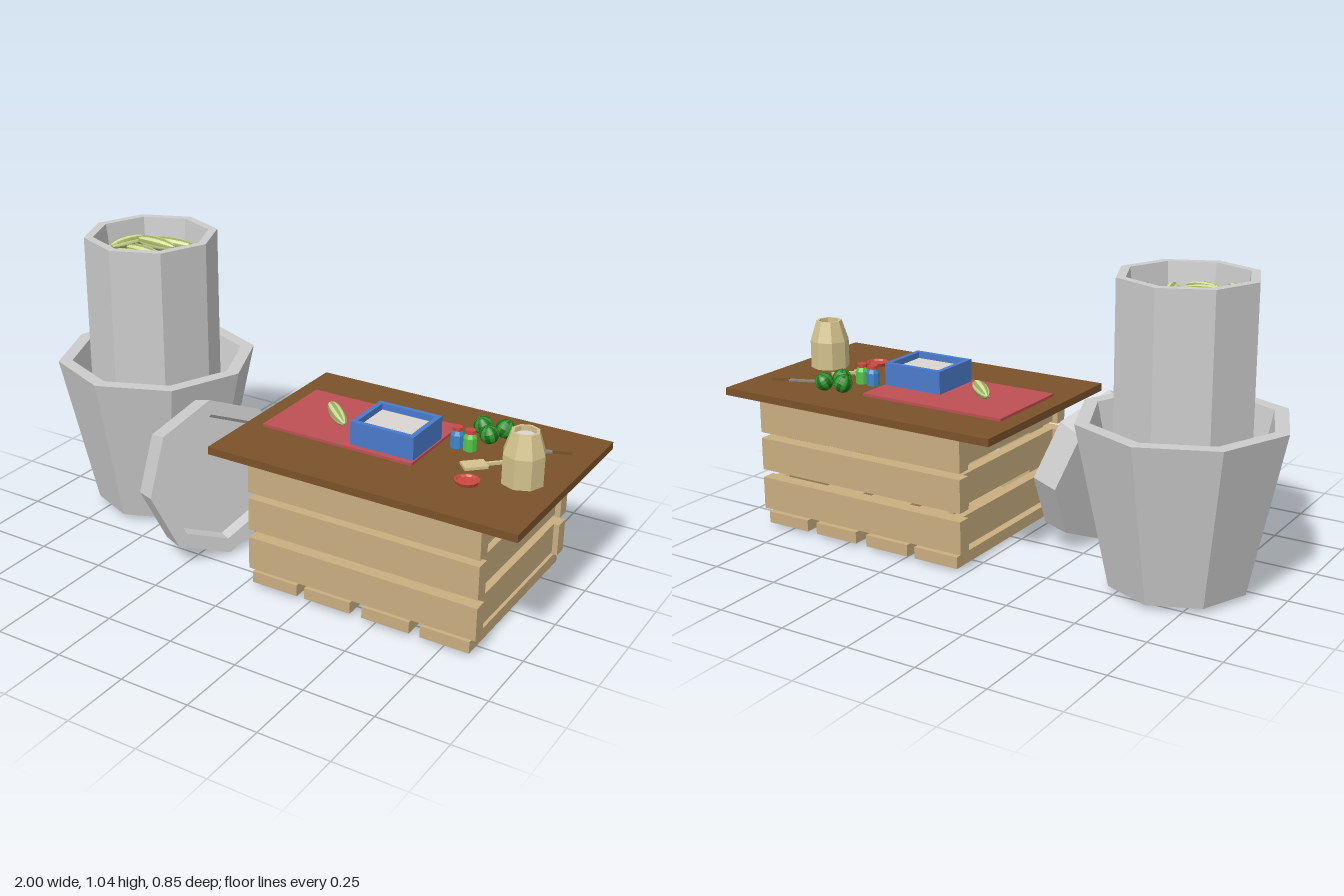
import * as THREE from 'three';
import { mergeGeometries } from 'three/addons/utils/BufferGeometryUtils.js';

const mat = (color) => new THREE.MeshStandardMaterial({ color, flatShading: true });
const GREY = mat(0xcccccc), WOOD = mat(0xc9ae80), BOARD = mat(0x7a5229), RED = mat(0xc9483f),
  MAT_RED = mat(0xbd5055), BLUE = mat(0x4a7acb), WHITE = mat(0xdcd6d2), WATER = mat(0x7fd0dc),
  CLAY = mat(0xd3c28c), PALE = mat(0xd2dd98), OLIVE = mat(0x9cab5e), GREEN = mat(0x2f9a28),
  DARK_GREEN = mat(0x1c6a1c), LIME = mat(0x55c447), SKY = mat(0x3f86c9), STEEL = mat(0x85858a);

export function createModel() {
  const root = new THREE.Group();

  const add = (name, geometry, material, x = 0, y = 0, z = 0, parent = root) => {
    const m = new THREE.Mesh(geometry, material);
    m.name = name;
    m.position.set(x, y, z);
    parent.add(m);
    return m;
  };
  // box given by its lower and upper limits on each axis
  const box = (name, material, [x0, x1], [y0, y1], [z0, z1], parent = root) =>
    add(name, new THREE.BoxGeometry(x1 - x0, y1 - y0, z1 - z0), material,
      (x0 + x1) / 2, (y0 + y1) / 2, (z0 + z1) / 2, parent);
  // faceted turned shape from [radius, height] pairs
  const turned = (profile, sides = 8) =>
    new THREE.LatheGeometry(profile.map(([r, y]) => new THREE.Vector2(r, y)), sides);
  const group = (name, parent = root) => {
    const g = new THREE.Group();
    g.name = name;
    parent.add(g);
    return g;
  };
  // ball made of lengthwise stripes in two colours
  const striped = (name, light, dark, parent = root, n = 12) => {
    const g = group(name, parent);
    [light, dark].forEach((material, k) => {
      const lunes = [];
      for (let i = k; i < n; i += 2) {
        const step = (Math.PI * 2) / n;
        lunes.push(new THREE.SphereGeometry(1, 1, 8, i * step, step));
      }
      add(k ? 'darkStripes' : 'lightStripes', mergeGeometries(lunes), material, 0, 0, 0, g);
    });
    return g;
  };
  const cucumber = (x, y, z, angle, length, parent) => {
    const c = striped('cucumber', PALE, OLIVE, parent);
    c.scale.set(0.024, length / 2, 0.024);
    c.rotation.set(0, -angle, Math.PI / 2);
    c.position.set(x, y, z);
  };

  // large tub with a tall pot standing in it
  const PX = -0.64, PZ = -0.06;
  add('outerTub', turned([[0, 0.015], [0.24, 0.015], [0.36, 0.575], [0.31, 0.575],
    [0.268, 0.38], [0, 0.38]]), GREY, PX, 0, PZ);
  add('innerPot', turned([[0, 0.37], [0.237, 0.37], [0.237, 1.035], [0.205, 1.035],
    [0.19, 0.92], [0, 0.92]]), GREY, PX, 0, PZ + 0.008);
  add('water', turned([[0.192, 0.945], [0, 0.945]]), WATER, PX, 0, PZ + 0.008);

  // cucumbers floating in the pot: x, z, heading, length
  const floating = group('floatingCucumbers');
  [[-0.645, -0.18, -0.1, 0.2], [-0.78, -0.095, 1.85, 0.16], [-0.675, -0.125, 0.08, 0.18],
    [-0.68, -0.053, 0.1, 0.16], [-0.675, 0.022, -0.08, 0.18], [-0.75, 0.055, 0.9, 0.13],
    [-0.635, 0.082, 0.15, 0.15], [-0.565, -0.02, 1.3, 0.15], [-0.51, -0.095, 1.2, 0.18],
  ].forEach(([x, z, a, l], i) => cucumber(x, 0.96 + (i % 3) * 0.006, z, a, l, floating));

  // octagonal lid leaning on the tub, hollow side outward
  const lid = add('lid', turned([[0, 0], [0.265, 0], [0.28, 0.1], [0.228, 0.1],
    [0.215, 0.06], [0, 0.06]]), GREY);
  const tilt = 0.2, c = Math.cos(tilt);
  const normal = new THREE.Vector3(0.929 * c, Math.sin(tilt), 0.371 * c);
  const side = new THREE.Vector3(-0.371, 0, 0.929);
  lid.quaternion.setFromRotationMatrix(
    new THREE.Matrix4().makeBasis(side, normal, side.clone().cross(normal)));
  lid.position.set(-0.21, 0.278, 0.165).addScaledVector(normal, -0.1);

  // slatted crate
  const crate = group('crate');
  [[0.062, 0.18], [0.21, 0.328], [0.35, 0.467]].forEach((y) => {
    box('frontSlat', WOOD, [0.015, 0.865], y, [0.27, 0.32], crate);
    box('backSlat', WOOD, [0.015, 0.865], y, [-0.365, -0.315], crate);
    const ys = [y[0] + 0.008, y[1]];
    box('leftSlat', WOOD, [0.807, 0.845], ys, [-0.315, 0.27], crate);
    box('rightSlat', WOOD, [0.035, 0.075], ys, [-0.315, 0.27], crate);
  });
  for (const x of [0.075, 0.787])
    for (const z of [0.175, -0.315])
      box('cornerPost', WOOD, [x, x + 0.02], [0.05, 0.473], [z, z + 0.095], crate);
  for (const x of [0.03, 0.235, 0.455, 0.67])
    box('bottomSlat', WOOD, [x, x + 0.175], [0.01, 0.052], [-0.365, 0.32], crate);

  // table board and mat
  box('tableTop', BOARD, [-0.115, 1], [0.473, 0.5], [-0.39, 0.362]);
  box('mat', MAT_RED, [-0.05, 0.52], [0.5, 0.51], [-0.215, 0.13]);
  cucumber(0.147, 0.535, -0.03, 0.76, 0.18, root);

  // open tray with white contents
  const tray = group('tray');
  const TX = [0.28, 0.515], TZ = [-0.09, 0.11], TY = [0.51, 0.592], w = 0.018;
  box('trayWall', BLUE, [TX[0], TX[0] + w], TY, TZ, tray);
  box('trayWall', BLUE, [TX[1] - w, TX[1]], TY, TZ, tray);
  box('trayWall', BLUE, [TX[0] + w, TX[1] - w], TY, [TZ[0], TZ[0] + w], tray);
  box('trayWall', BLUE, [TX[0] + w, TX[1] - w], TY, [TZ[1] - w, TZ[1]], tray);
  box('trayContents', WHITE, [TX[0] + w, TX[1] - w], [0.51, 0.57], [TZ[0] + w, TZ[1] - w], tray);

  // three striped melons
  [[0.607, -0.215, 0.3], [0.68, -0.23, -0.4], [0.655, -0.16, 0.2]].forEach(([x, z, r]) => {
    const m = striped('melon', GREEN, DARK_GREEN);
    m.scale.setScalar(0.033);
    m.position.set(x, 0.532, z);
    m.rotation.set(r, 0, r);
  });

  // small bottles with red caps
  [[0.576, SKY], [0.623, LIME]].forEach(([x, material]) => {
    add('bottle', turned([[0, 0], [0.024, 0], [0.024, 0.045], [0.016, 0.06], [0, 0.06]]),
      material, x, 0.5, -0.083);
    add('bottleCap', new THREE.CylinderGeometry(0.018, 0.018, 0.012, 8), RED, x, 0.566, -0.083);
  });

  // shallow dish
  add('dish', turned([[0, 0], [0.036, 0], [0.042, 0.013], [0.036, 0.013], [0.031, 0.007],
    [0, 0.007]], 12), RED, 0.723, 0.5, 0.14);

  // clay jar
  add('jar', turned([[0, 0], [0.071, 0], [0.071, 0.102], [0.047, 0.177], [0.037, 0.177],
    [0.037, 0.15]]), CLAY, 0.865, 0.5, 0.036);
  add('jarContents', turned([[0.04, 0.16], [0, 0.16]]), WHITE, 0.865, 0.5, 0.036);

  // knife and spatula lying on the table
  const knife = group('knife');
  knife.position.set(0.835, 0.504, -0.193);
  knife.rotation.y = 0.37;
  box('knifeBlade', STEEL, [-0.095, 0.03], [-0.003, 0.003], [-0.008, 0.008], knife);
  box('knifeHandle', BOARD, [0.03, 0.095], [-0.004, 0.007], [-0.005, 0.005], knife);
  const spatula = group('spatula');
  spatula.position.set(0.69, 0.506, 0.022);
  spatula.rotation.y = 0.77;
  box('spatulaBlade', CLAY, [-0.04, 0.04], [-0.006, 0.004], [-0.027, 0.027], spatula);
  box('spatulaHandle', CLAY, [0.04, 0.125], [-0.006, 0.004], [-0.006, 0.006], spatula);

  return root;
}
